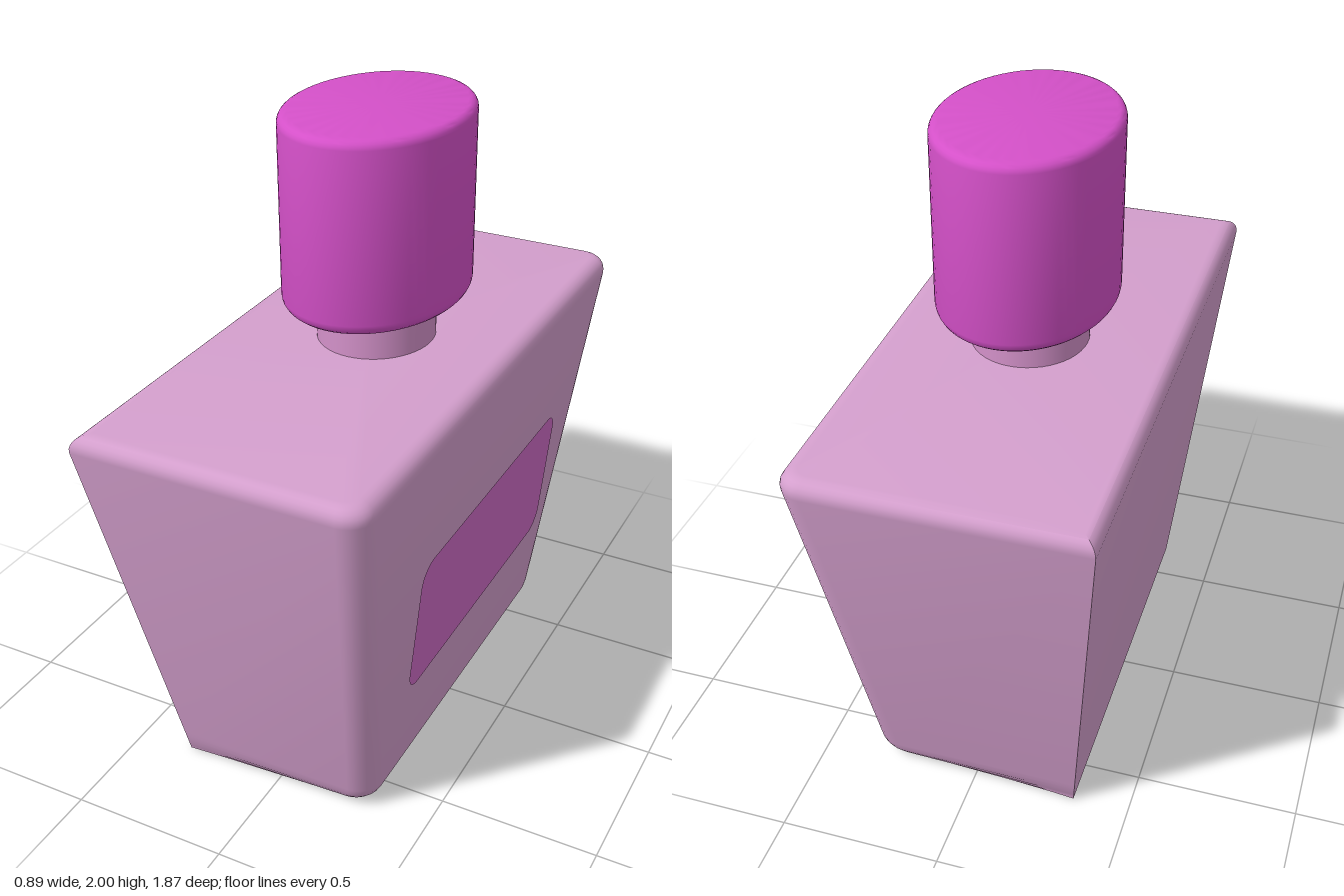
import * as THREE from 'three';
import { toCreasedNormals } from 'three/addons/utils/BufferGeometryUtils.js';

const BODY_TOP = 1.28;
const halfX = (y) => 0.325 + 0.1 * y;
const halfZ = (y) => 0.645 + 0.235 * y;

// One horizontal outline: square corners on the -x side, rounded on the +x side.
// left/right/zLeft/zRight are the insets of its edges.
function outline(y, left, right, zLeft, zRight, radius) {
  const x0 = -halfX(y) + left, x1 = halfX(y) - right;
  const z0 = halfZ(y) - zLeft, z1 = halfZ(y) - zRight;
  const points = [[x0, -z0], [x0, z0]];
  const steps = 6;
  for (const side of [1, -1]) {
    for (let i = 0; i <= steps; i++) {
      const t = (side > 0 ? 1 - i / steps : i / steps) * Math.PI / 2;
      points.push([
        x1 - radius + radius * Math.cos(t),
        side * (z1 - radius + radius * Math.sin(t)),
      ]);
    }
  }
  return points.map(([x, z]) => new THREE.Vector3(x, y, z));
}

// Tapered flask skinned through stacked outlines
function bodyGeometry() {
  const layers = [];
  const steps = 6;
  const low = 0.08, high = 0.055;
  for (let i = 0; i <= steps; i++) { // lower bevel fades out towards -x
    const a = (i / steps) * Math.PI / 2;
    const inset = low * (1 - Math.sin(a));
    layers.push(outline(low * (1 - Math.cos(a)), 0, inset, 0, inset * 0.6, 0.08 - inset * 0.4));
  }
  for (let i = 0; i <= steps; i++) { // upper bevel runs all the way round
    const a = (i / steps) * Math.PI / 2;
    const inset = high * (1 - Math.cos(a));
    layers.push(outline(BODY_TOP - high + high * Math.sin(a), inset, inset, inset, inset, 0.08 - inset * 0.7));
  }
  const positions = [];
  const tri = (...corners) => corners.forEach((v) => positions.push(v.x, v.y, v.z));
  const n = layers[0].length;
  for (let k = 0; k < layers.length - 1; k++) {
    const a = layers[k], b = layers[k + 1];
    for (let i = 0; i < n; i++) {
      const j = (i + 1) % n;
      tri(a[i], a[j], b[j]);
      tri(a[i], b[j], b[i]);
    }
  }
  const bottom = layers[0], top = layers[layers.length - 1];
  const bottomCentre = new THREE.Vector3(0, 0, 0), topCentre = new THREE.Vector3(0, BODY_TOP, 0);
  for (let i = 0; i < n; i++) {
    const j = (i + 1) % n;
    tri(bottomCentre, bottom[j], bottom[i]);
    tri(topCentre, top[i], top[j]);
  }
  const geometry = new THREE.BufferGeometry();
  geometry.setAttribute('position', new THREE.Float32BufferAttribute(positions, 3));
  return toCreasedNormals(geometry, 0.6);
}

// Unit-height-free cap profile with softly rounded rims
function capGeometry(radius, height) {
  const points = [new THREE.Vector2(0, 0)];
  const rim = (r, y, start) => {
    for (let i = 0; i <= 5; i++) {
      const a = start + (i / 5) * Math.PI / 2;
      points.push(new THREE.Vector2(radius - r + r * Math.cos(a), y + r * Math.sin(a)));
    }
  };
  rim(0.04, 0.04, -Math.PI / 2);
  rim(0.028, height - 0.028, 0);
  points.push(new THREE.Vector2(0, height));
  return toCreasedNormals(new THREE.LatheGeometry(points, 64), 0.6);
}

// Rounded rectangle for the label
function labelGeometry(w, h, r) {
  const s = new THREE.Shape();
  s.moveTo(-w + r, -h);
  s.lineTo(w - r, -h);
  s.absarc(w - r, -h + r, r, -Math.PI / 2, 0);
  s.lineTo(w, h - r);
  s.absarc(w - r, h - r, r, 0, Math.PI / 2);
  s.lineTo(-w + r, h);
  s.absarc(-w + r, h - r, r, Math.PI / 2, Math.PI);
  s.lineTo(-w, -h + r);
  s.absarc(-w + r, -h + r, r, Math.PI, Math.PI * 1.5);
  return new THREE.ShapeGeometry(s, 8);
}

export function createModel() {
  const model = new THREE.Group();
  model.name = 'perfumeBottle';

  const material = (name, color, side = THREE.FrontSide) => {
    const m = new THREE.MeshStandardMaterial({ color, side });
    m.name = name;
    return m;
  };
  const add = (name, geometry, mat) => {
    const mesh = new THREE.Mesh(geometry, mat);
    mesh.name = name;
    model.add(mesh);
    return mesh;
  };

  add('body', bodyGeometry(), material('pale pink glass', 0xd49fcd));

  // Round neck between body and cap
  const neck = add('neck', new THREE.CylinderGeometry(1, 1, 0.18, 48), material('pink neck', 0xd391c9));
  neck.scale.set(0.18, 1, 0.195);
  neck.position.set(0.008, 1.35, -0.02);

  // Oval cap
  const cap = add('cap', capGeometry(0.27, 0.585), material('magenta cap', 0xd450c8));
  cap.scale.z = 0.355 / 0.27;
  cap.position.set(0.01, 1.415, -0.027);

  // Label plate hovering just off the sloping +x face
  const label = add('label', labelGeometry(0.518, 0.232, 0.07), material('orchid label', 0xcf6cc6, THREE.DoubleSide));
  label.rotation.set(0, Math.PI / 2, 0);
  label.rotateX(Math.atan(0.1));
  label.position.set(0.409, 0.63, 0.006);

  return model;
}
